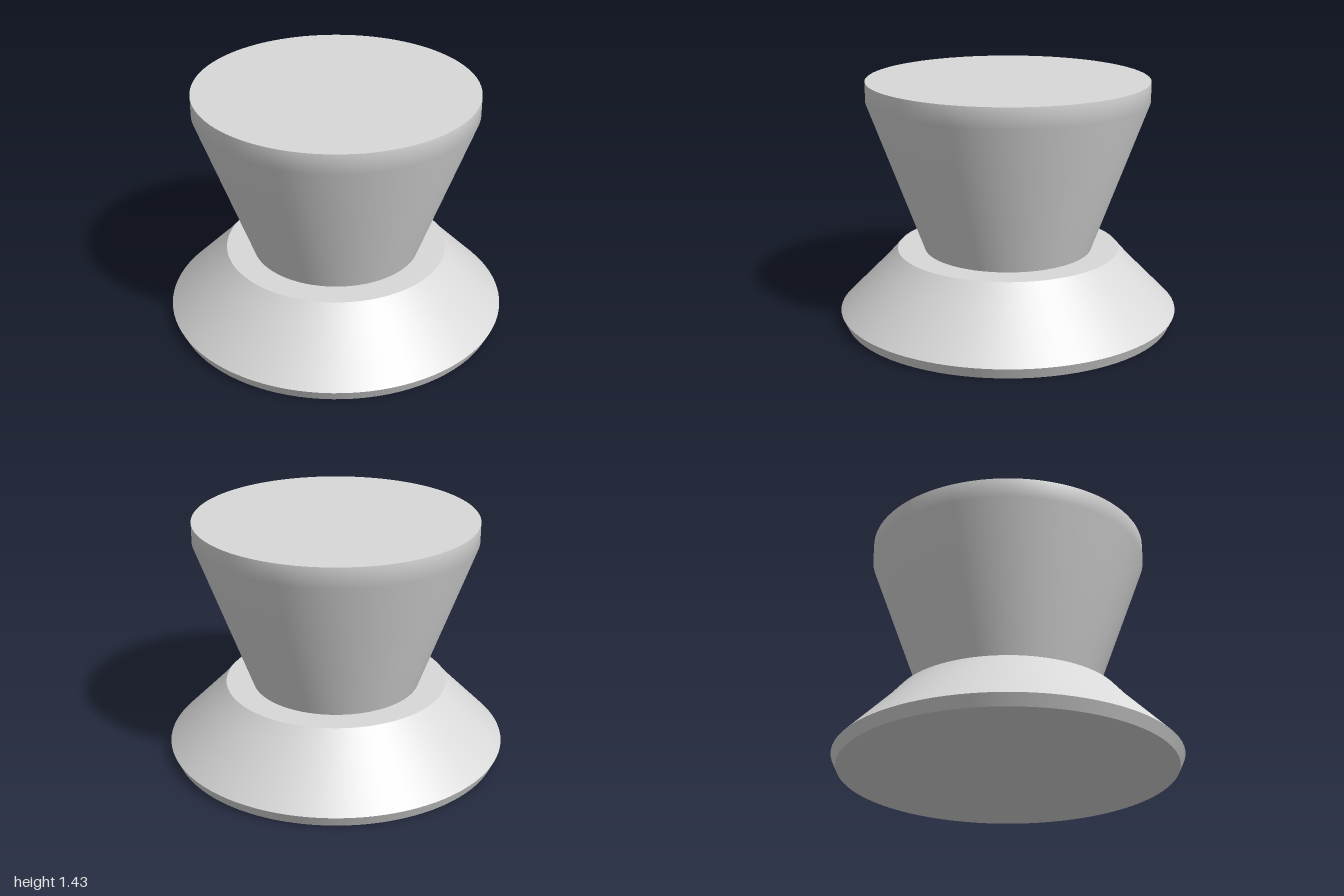
import * as THREE from 'three';

const SEGMENTS = 96;

// Revolves each run of [radius, height] points; runs meet at sharp edges, bends inside a run stay smooth.
function turned(name, runs, material) {
  const part = new THREE.Group();
  part.name = name;
  for (const [runName, points] of Object.entries(runs)) {
    const profile = points.map(([r, y]) => new THREE.Vector2(r, y));
    const mesh = new THREE.Mesh(new THREE.LatheGeometry(profile, SEGMENTS), material);
    mesh.name = runName;
    part.add(mesh);
  }
  return part;
}

export function createModel() {
  const grey = new THREE.MeshStandardMaterial({ color: 0xd9d9d9 });
  grey.name = 'light grey';

  const model = new THREE.Group();
  model.name = 'knob';

  // Flared foot with a shallow dished underside, a bevelled lower rim and a flat top
  model.add(turned('foot', {
    footUnderside: [[0, 0.08], [0.25, 0.075], [0.5, 0.059], [0.75, 0.032], [0.97, 0]],
    footBevel: [[0.97, 0], [1, 0.065]],
    footSlope: [[1, 0.065], [0.735, 0.335], [0.655, 0.427]],
    footTop: [[0.655, 0.427], [0, 0.427]],
  }, grey));

  // Grip widening upward to a short straight rim and a flat top
  model.add(turned('grip', {
    gripSide: [[0.495, 0.427], [0.82, 1.315], [0.82, 1.432]],
    gripTop: [[0.82, 1.432], [0, 1.432]],
  }, grey));

  return model;
}
